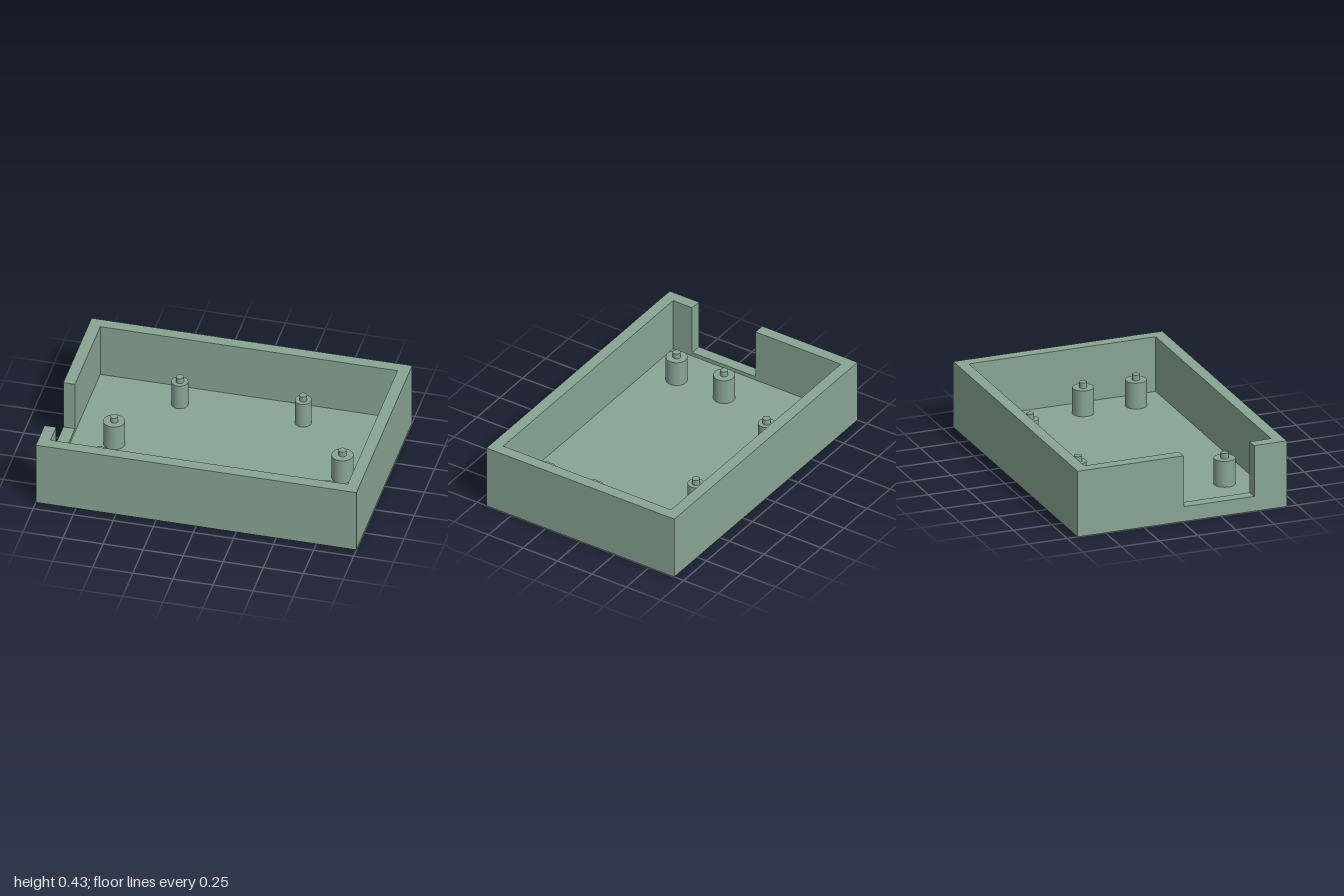
import * as THREE from 'three';

const W = 1, D = 0.682, H = 0.425;          // half width, half depth, height
const IW = 0.927, ID = 0.609;               // inner half width and depth
const FLOOR = 0.071, SILL = 0.096;
const GAP_BACK = 0.01, GAP_FRONT = 0.47;    // opening in the right-hand wall

export function createModel() {
  const group = new THREE.Group();
  const green = new THREE.MeshStandardMaterial({ color: 0x88a593 });
  green.name = 'sage green';

  const add = (name, geometry, x = 0, y = 0, z = 0) => {
    const mesh = new THREE.Mesh(geometry, green);
    mesh.name = name;
    mesh.position.set(x, y, z);
    group.add(mesh);
  };

  // floor plate
  add('floor', new THREE.BoxGeometry(2 * W, FLOOR, 2 * D), 0, FLOOR / 2, 0);

  // walls: one C-shaped outline, open at the side gap
  const outline = [
    [-W, GAP_BACK], [-W, -D], [W, -D], [W, D], [-W, D], [-W, GAP_FRONT],
    [-IW, GAP_FRONT], [-IW, ID], [IW, ID], [IW, -ID], [-IW, -ID], [-IW, GAP_BACK],
  ].map(([x, z]) => new THREE.Vector2(x, -z));
  const walls = new THREE.ExtrudeGeometry(new THREE.Shape(outline), {
    depth: H - FLOOR, bevelEnabled: false,
  });
  walls.rotateX(-Math.PI / 2);
  add('walls', walls, 0, FLOOR, 0);

  // low sill across the opening
  add('sill', new THREE.BoxGeometry(W - IW, SILL - FLOOR, GAP_FRONT - GAP_BACK),
    -(W + IW) / 2, (SILL + FLOOR) / 2, (GAP_BACK + GAP_FRONT) / 2);

  // standoff posts, each with a locating pin: x, z, radius
  const POST_TOP = 0.238, PIN_TOP = 0.273;
  const posts = [
    [-0.385, -0.43, 0.051], [0.385, -0.43, 0.051],
    [-0.668, 0.066, 0.066], [0.756, 0.066, 0.066],
    [-0.668, 0.411, 0.066], [0.756, 0.411, 0.066],
  ];
  for (const [x, z, r] of posts) {
    add('standoff', new THREE.CylinderGeometry(r, r, POST_TOP - FLOOR, 40),
      x, (POST_TOP + FLOOR) / 2, z);
    add('pin', new THREE.CylinderGeometry(0.024, 0.024, PIN_TOP - POST_TOP, 32),
      x, (PIN_TOP + POST_TOP) / 2, z);
  }
  return group;
}
